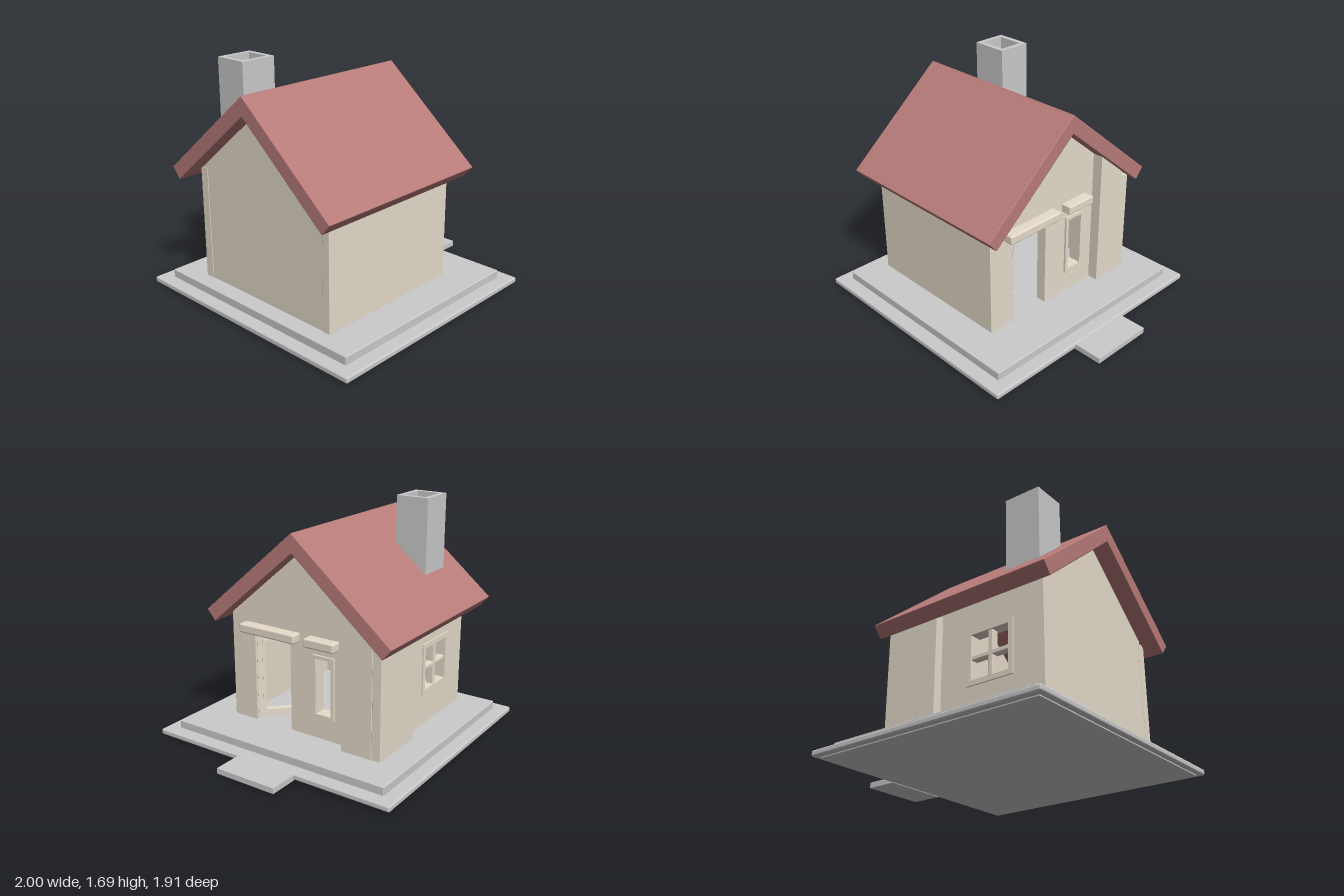
import * as THREE from 'three';
import { RoundedBoxGeometry } from 'three/addons/geometries/RoundedBoxGeometry.js';

const grey = new THREE.MeshStandardMaterial({ color: 0xcccccc });
const cream = new THREE.MeshStandardMaterial({ color: 0xe6dccb });
const red = new THREE.MeshStandardMaterial({ color: 0xb87c7a });

export function createModel() {
  const house = new THREE.Group();
  house.name = 'house';

  const add = (name, geometry, material, parent = house) => {
    const mesh = new THREE.Mesh(geometry, material);
    mesh.name = name;
    parent.add(mesh);
    return mesh;
  };

  // Softened block given by its bounds on each axis
  const block = (name, material, [x0, x1], [y0, y1], [z0, z1], r = 0.005, parent = house) => {
    const mesh = add(name, new RoundedBoxGeometry(x1 - x0, y1 - y0, z1 - z0, 2, r), material, parent);
    mesh.position.set((x0 + x1) / 2, (y0 + y1) / 2, (z0 + z1) / 2);
    return mesh;
  };

  const polygon = (points) => new THREE.Shape(points.map(([x, y]) => new THREE.Vector2(x, y)));
  const rect = (a, b, c, d) => polygon([[a, c], [b, c], [b, d], [a, d]]);
  const slab = (shape, depth) => new THREE.ExtrudeGeometry(shape, { depth, bevelEnabled: false });

  // Rectangular ring in the xy plane
  const ring = (a, b, c, d, w, depth) => {
    const shape = rect(a, b, c, d);
    shape.holes.push(rect(a + w, b - w, c + w, d - w));
    return slab(shape, depth);
  };

  // Shapes drawn with u = -z are turned to face +x and placed at x
  const faceX = (geometry, x) => geometry.rotateY(Math.PI / 2).translate(x, 0, 0);
  const roofY = (z) => 1.43 - 0.84 * Math.abs(z);
  const floorY = 0.105;

  // Stepped base and entrance path
  block('underside', grey, [-0.96, 0.75], [0, 0.03], [-0.91, 0.91]);
  block('lowerBase', grey, [-1, 0.79], [0.01, 0.052], [-0.955, 0.955], 0.012);
  block('upperBase', grey, [-0.905, 0.695], [0.04, 0.11], [-0.857, 0.857], 0.007);
  block('entrancePath', grey, [0.775, 1], [0.005, 0.047], [-0.235, 0.235], 0.002);

  // Front wall
  block('frontWall', cream, [-0.79, 0.365], [floorY, 0.91], [0.55, 0.61], 0.004);

  // Plain gable wall
  const plainGable = polygon([
    [-0.56, floorY], [0.6, floorY], [0.6, roofY(0.6)], [0, roofY(0)], [-0.56, roofY(0.56)],
  ]);
  add('plainGable', faceX(slab(plainGable, 0.07), -0.785), cream);

  // Entrance gable with doorway notch and window opening
  const entrance = polygon([
    [-0.6, floorY], [-0.41, floorY], [-0.41, 0.75], [-0.1, 0.75], [-0.1, floorY],
    [0.4, floorY], [0.4, roofY(0.4)], [0, roofY(0)], [-0.6, roofY(0.6)],
  ]);
  entrance.holes.push(rect(0.11, 0.25, 0.295, 0.695));
  add('entranceGable', faceX(slab(entrance, 0.075), 0.29), cream);
  add('sideWindowFrame', faceX(ring(0.093, 0.267, 0.27, 0.72, 0.025, 0.095), 0.285), cream);

  // Projecting corner room
  const cornerSide = polygon([
    [0.37, floorY], [0.6, floorY], [0.6, roofY(0.6)], [0.37, roofY(0.37)],
  ]);
  add('cornerSideWall', faceX(slab(cornerSide, 0.09), 0.35), cream);
  block('cornerBackWall', cream, [0.01, 0.435], [floorY, 0.89], [-0.67, -0.602], 0.004);

  // Back wall with a four-pane window
  const back = rect(-0.79, 0.04, floorY, 0.93);
  back.holes.push(rect(-0.545, -0.225, 0.36, 0.7));
  add('backWall', slab(back, 0.065), cream).position.z = -0.61;
  add('backWindowFrame', ring(-0.565, -0.205, 0.34, 0.72, 0.035, 0.085), cream).position.z = -0.62;
  block('windowMullion', cream, [-0.402, -0.368], [0.36, 0.7], [-0.61, -0.555]);
  block('windowTransom', cream, [-0.545, -0.225], [0.515, 0.545], [-0.61, -0.555]);

  // Open door, hinged on the front jamb and swung inward
  const door = new THREE.Group();
  door.name = 'door';
  door.position.set(0.35, 0, 0.405);
  door.rotation.y = -Math.PI / 4;
  house.add(door);
  add('doorLeaf', faceX(ring(0, 0.3, 0.125, 0.75, 0.045, 0.035), -0.035), cream, door);
  add('doorTrim', faceX(ring(0.035, 0.265, 0.16, 0.715, 0.02, 0.047), -0.041), cream, door);
  // Hinge turn carries the leaf from the wall line toward -x
  door.rotation.y = Math.PI / 4;

  // Small canopies over door and window
  block('doorCanopy', cream, [0.345, 0.44], [0.78, 0.845], [0.02, 0.49], 0.012);
  block('windowCanopy', cream, [0.345, 0.44], [0.78, 0.845], [-0.3, -0.06], 0.012);

  // Overlapping roof slabs
  const roofSlab = (name, length, y, z, tilt) => {
    const mesh = add(name, new RoundedBoxGeometry(1.4, 0.103, length, 2, 0.006), red);
    mesh.position.set(-0.21, y, z);
    mesh.rotation.x = tilt;
  };
  roofSlab('frontRoof', 0.965, 1.193, 0.333, 0.705);
  roofSlab('backRoof', 0.99, 1.198, -0.357, -0.696);

  // Hollow chimney
  const chimney = ring(-0.69, -0.42, 0.25, 0.495, 0.036, 0.62);
  chimney.rotateX(-Math.PI / 2).translate(0, 1.07, 0);
  add('chimney', chimney, grey);

  return house;
}
